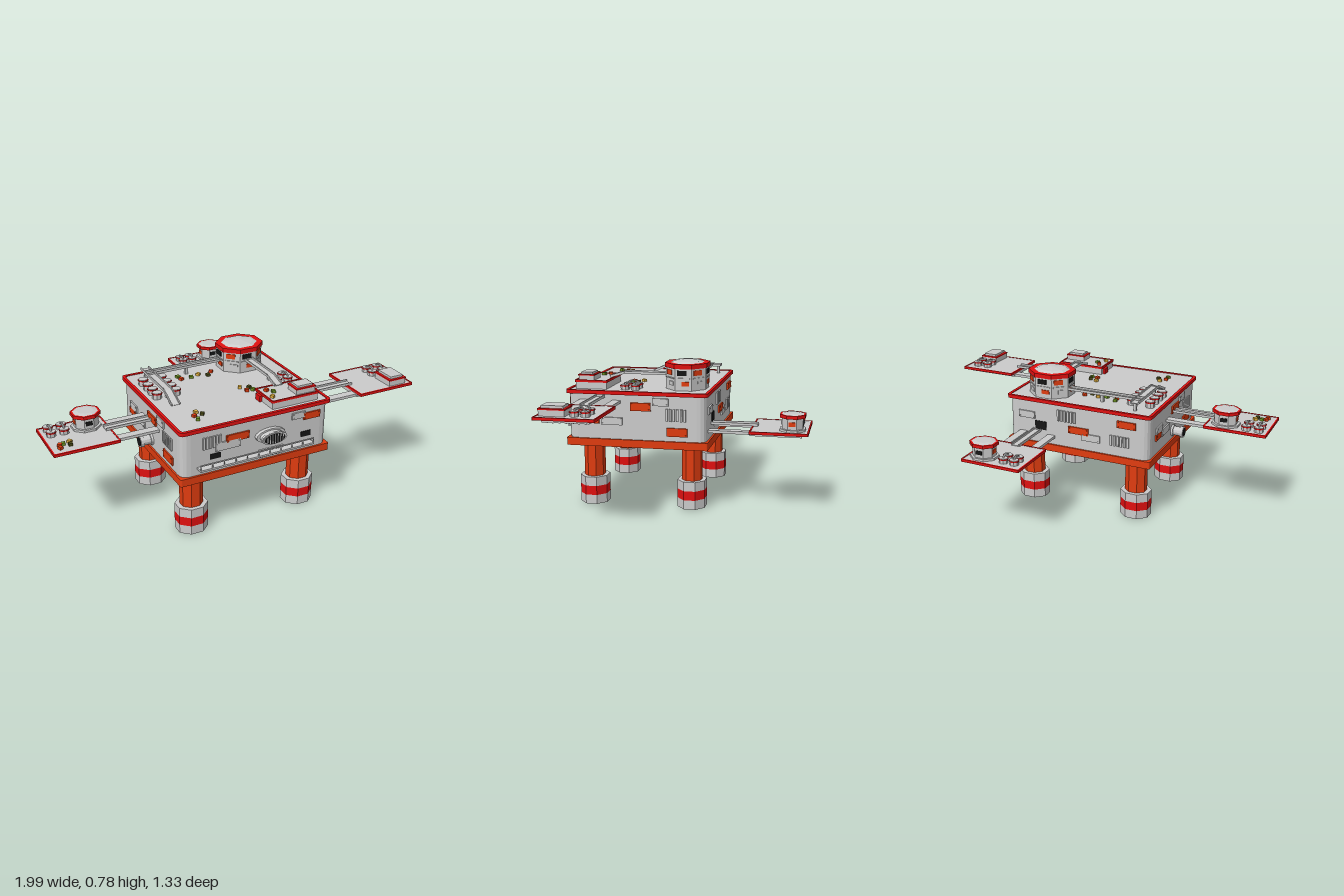
import * as THREE from 'three';

const mat = (color) => new THREE.MeshStandardMaterial({ color, flatShading: true });
const GREY = mat(0xcccccc), RED = mat(0xe01010), ORANGE = mat(0xe03c10), DARK = mat(0x151515);
const CRATES = [ORANGE, mat(0x6b8e23), mat(0xe0b040), mat(0x4a4a18)];
const SQUASH = 0.9; // round parts are a little shorter along z

function add(parent, name, geo, material, x = 0, y = 0, z = 0) {
  const m = new THREE.Mesh(geo, material);
  m.name = name;
  m.position.set(x, y, z);
  parent.add(m);
  return m;
}

// box from its limits
function block(parent, name, material, x0, x1, y0, y1, z0, z1) {
  return add(parent, name, new THREE.BoxGeometry(x1 - x0, y1 - y0, z1 - z0), material,
    (x0 + x1) / 2, (y0 + y1) / 2, (z0 + z1) / 2);
}

function group(parent, name, x = 0, y = 0, z = 0) {
  const g = new THREE.Group();
  g.name = name;
  g.position.set(x, y, z);
  parent.add(g);
  return g;
}

// upright octagonal prism with flat sides facing the axes; r is half the flat width
function octagon(parent, name, material, r, y0, y1, x = 0, z = 0, rTop = r) {
  const k = 1 / Math.cos(Math.PI / 8);
  const geo = new THREE.CylinderGeometry(rTop * k, r * k, y1 - y0, 8).rotateY(Math.PI / 8).scale(1, 1, SQUASH);
  return add(parent, name, geo, material, x, (y0 + y1) / 2, z);
}

function roundedRect(Type, w, d, r) {
  const s = new Type(), x = w / 2, y = d / 2;
  s.moveTo(-x + r, -y);
  s.lineTo(x - r, -y).quadraticCurveTo(x, -y, x, -y + r);
  s.lineTo(x, y - r).quadraticCurveTo(x, y, x - r, y);
  s.lineTo(-x + r, y).quadraticCurveTo(-x, y, -x, y - r);
  s.lineTo(-x, -y + r).quadraticCurveTo(-x, -y, -x + r, -y);
  return s;
}

// flat slab with rounded corners; border > 0 leaves only a frame
function slab(parent, name, material, w, d, y0, y1, x, z, r = 0.02, border = 0) {
  const s = roundedRect(THREE.Shape, w, d, r);
  if (border) s.holes.push(roundedRect(THREE.Path, w - 2 * border, d - 2 * border, r * 0.6));
  const geo = new THREE.ExtrudeGeometry(s, { depth: y1 - y0, bevelEnabled: false, curveSegments: 4 }).rotateX(-Math.PI / 2);
  return add(parent, name, geo, material, x, y0, z);
}

function smallTank(parent, x, y, z, r = 0.023, h = 0.028) {
  const g = group(parent, 'smallTank', x, y, z);
  octagon(g, 'tankBody', GREY, r, 0, h);
  octagon(g, 'tankRim', RED, r * 1.12, h - 0.009, h - 0.003);
  octagon(g, 'tankLid', GREY, r * 0.85, h - 0.003, h, 0, 0, r * 0.75);
}

// four tanks, each pair joined by an arched pipe along z
function tankCluster(parent, xs, y, zs) {
  for (const x of xs) {
    for (const z of zs) smallTank(parent, x, y, z);
    const arch = new THREE.TorusGeometry(Math.abs(zs[1] - zs[0]) / 2, 0.006, 6, 8, Math.PI).rotateY(Math.PI / 2).scale(1, 0.6, 1);
    add(parent, 'tankPipe', arch, GREY, x, y + 0.024, (zs[0] + zs[1]) / 2);
  }
}

function bigTank(parent, x, y, z) {
  const g = group(parent, 'largeTank', x, y, z);
  octagon(g, 'tankBase', GREY, 0.073, 0, 0.012);
  octagon(g, 'tankBody', GREY, 0.06, 0.012, 0.07);
  octagon(g, 'tankRim', RED, 0.073, 0.07, 0.088);
  octagon(g, 'tankLid', GREY, 0.062, 0.088, 0.092, 0, 0, 0.04);
  for (let i = 0; i < 4; i++) {
    const side = group(g, 'tankSide');
    side.rotation.y = i * Math.PI / 2;
    const d = i % 2 ? 0.06 : 0.06 * SQUASH;
    block(side, 'tankPanel', i % 2 ? ORANGE : DARK, -0.018, 0.018, 0.03, 0.052, d - 0.004, d + 0.003);
  }
}

function crates(parent, y, list) {
  list.forEach(([x, z], i) => {
    const c = add(parent, 'crate', new THREE.BoxGeometry(0.02, 0.014, 0.02), CRATES[i % 4], x, y + 0.007, z);
    c.rotation.y = 0.4 + i * 0.9;
  });
}

function cabin(parent, x0, x1, y, z0, z1, h) {
  const g = group(parent, 'cabin');
  block(g, 'cabinBody', GREY, x0, x1, y, y + h * 0.72, z0, z1);
  block(g, 'cabinStripe', RED, x0 - 0.003, x1 + 0.003, y + h * 0.6, y + h * 0.74, z0 - 0.003, z1 + 0.003);
  block(g, 'cabinRoof', GREY, x0 + 0.012, x1 - 0.012, y + h * 0.72, y + h, z0 + 0.01, z1 - 0.01);
}

// walkway between two points, with a curb on either side
function walkway(parent, a, b, w = 0.045) {
  const p = new THREE.Vector3(...a), q = new THREE.Vector3(...b);
  const g = group(parent, 'walkway', ...p.clone().add(q).multiplyScalar(0.5).toArray());
  g.lookAt(q);
  const l = p.distanceTo(q) / 2;
  block(g, 'walkwayFloor', GREY, -w / 2, w / 2, -0.004, 0, -l, l);
  for (const s of [-1, 1]) block(g, 'walkwayCurb', GREY, s * w / 2 - 0.003, s * w / 2 + 0.003, -0.004, 0.01, -l, l);
}

// outlying platform; local +z points away from the hull, y is its deck height
function platform(parent, name, w, d, gap, top) {
  const g = group(parent, name);
  slab(g, 'deckRim', RED, w, d, top - 0.015, top, 0, gap + d / 2, 0.005, 0.008);
  block(g, 'deck', GREY, -w / 2 + 0.006, w / 2 - 0.006, top - 0.013, top - 0.002, gap + 0.006, gap + d - 0.006);
  block(g, 'deckUnderside', GREY, -w / 2 + 0.035, w / 2 - 0.035, top - 0.03, top - 0.013, gap, gap + d - 0.035);
  for (let i = -3; i <= 3; i++) block(g, 'deckRib', GREY, i * 0.032 - 0.004, i * 0.032 + 0.004, top - 0.034, top - 0.029, gap + 0.01, gap + d - 0.04);
  for (const s of [-1, 1]) block(g, 'strut', GREY, s * 0.088 - 0.023, s * 0.088 + 0.023, top - 0.03, top - 0.015, -0.01, gap + 0.02);
  walkway(g, [0, top + 0.002, -0.005], [0, top + 0.002, gap + 0.03]);
  return g;
}

// wall details; local x runs along the wall, +z points outwards
function slats(parent, x0, x1, y0, y1, n) {
  const step = (x1 - x0) / n;
  for (let i = 0; i < n; i++) block(parent, 'ventSlat', GREY, x0 + i * step, x0 + (i + 0.6) * step, y0, y1, -0.005, 0.008);
}
function panels(parent, list) {
  for (const [m, x0, x1, y0, y1] of list) {
    block(parent, 'wallPanel', m, x0, x1, y0, y1, -0.005, m === DARK ? 0.003 : 0.008);
    if (m !== DARK) for (const x of [x0 + 0.008, x1 - 0.008]) for (const y of [y0 + 0.007, y1 - 0.007])
      block(parent, 'panelBolt', m, x - 0.003, x + 0.003, y - 0.003, y + 0.003, 0.007, 0.011);
  }
}
const sideDetails = (wall) => {
  panels(wall, [[ORANGE, -0.03, 0.08, 0.53, 0.573], [ORANGE, 0.165, 0.275, 0.4, 0.445], [ORANGE, -0.28, -0.2, 0.455, 0.49],
    [GREY, -0.27, -0.18, 0.49, 0.527], [GREY, -0.19, -0.075, 0.45, 0.49], [GREY, 0.09, 0.175, 0.56, 0.6]]);
  slats(wall, 0.16, 0.275, 0.48, 0.545, 6);
};

export function createModel() {
  const model = new THREE.Group();
  model.name = 'seaPlatform';
  const cz = 0.23, roof = 0.628;

  // legs with banded feet
  for (const x of [-0.322, 0.322]) for (const z of [-0.05, 0.493]) {
    const leg = group(model, 'leg', x, 0, z);
    octagon(leg, 'footBase', GREY, 0.082, 0, 0.05);
    octagon(leg, 'footBand', RED, 0.082, 0.05, 0.1);
    octagon(leg, 'footTop', GREY, 0.082, 0.1, 0.15);
    octagon(leg, 'legColumn', ORANGE, 0.058, 0.15, 0.34);
  }

  // hull
  slab(model, 'baseSlab', ORANGE, 0.87, 0.765, 0.332, 0.373, 0, cz, 0.01);
  slab(model, 'hull', GREY, 0.85, 0.745, 0.37, roof, 0, cz, 0.05);
  slab(model, 'roofRim', RED, 0.87, 0.765, 0.612, 0.632, 0, cz, 0.025, 0.016);

  // wall fittings
  const walls = [0, 1, 2, 3].map((i) => {
    const a = i * Math.PI / 2, d = i % 2 ? 0.425 : 0.3725;
    const w = group(model, ['frontWall', 'leftWall', 'backWall', 'rightWall'][i], Math.sin(a) * d, 0, cz + Math.cos(a) * d);
    w.rotation.y = a;
    return w;
  });
  const [front, left, back, right] = walls;
  panels(front, [[ORANGE, -0.18, -0.05, 0.52, 0.56], [ORANGE, 0.27, 0.37, 0.545, 0.583], [DARK, 0.26, 0.32, 0.445, 0.475],
    [DARK, -0.27, -0.21, 0.445, 0.475], [GREY, -0.24, -0.1, 0.485, 0.53], [GREY, 0.2, 0.28, 0.56, 0.595]]);
  slats(front, -0.31, -0.2, 0.51, 0.575, 6);
  slats(front, 0.01, 0.16, 0.385, 0.43, 8);
  sideDetails(left);
  sideDetails(right);
  panels(back, [[ORANGE, -0.05, 0.07, 0.46, 0.5], [ORANGE, 0.24, 0.35, 0.54, 0.58], [GREY, 0.03, 0.14, 0.43, 0.47],
    [GREY, -0.36, -0.26, 0.51, 0.55], [DARK, -0.26, -0.19, 0.45, 0.5]]);
  slats(back, -0.12, 0, 0.52, 0.585, 6);
  slats(back, 0.2, 0.32, 0.43, 0.49, 6);

  // front ledge with rail
  block(front, 'ledgeFloor', GREY, -0.34, 0.32, 0.408, 0.418, -0.005, 0.04);
  block(front, 'ledgeRail', GREY, -0.34, 0.32, 0.44, 0.446, 0.034, 0.04);
  for (let i = 0; i <= 10; i++) block(front, 'railPost', GREY, -0.34 + i * 0.0655, -0.335 + i * 0.0655, 0.415, 0.443, 0.035, 0.039);

  // oval intake on the front
  const intake = group(front, 'frontIntake', 0.07, 0.51, 0);
  const oval = (name, m, r, z0, z1) => add(intake, name,
    new THREE.CylinderGeometry(r, r, z1 - z0, 16).rotateX(Math.PI / 2).scale(1, 0.45, 1), m, 0, 0, (z0 + z1) / 2);
  oval('intakeFlange', GREY, 0.085, -0.005, 0.02);
  oval('intakeBody', GREY, 0.067, 0.02, 0.058);
  oval('intakeLip', GREY, 0.074, 0.042, 0.054);
  oval('intakeOpening', DARK, 0.06, 0.05, 0.06);
  for (let i = -3; i <= 3; i++) {
    const h = 0.026 * Math.sqrt(1 - (i / 4) ** 2);
    block(intake, 'intakeBar', GREY, i * 0.015 - 0.002, i * 0.015 + 0.002, -h, h, 0.055, 0.063);
  }

  // round nozzle on the side
  const nozzle = group(right, 'sideNozzle', 0, 0.42, 0);
  for (const [r, z0, z1, m] of [[0.026, -0.01, 0.06, GREY], [0.033, 0, 0.012, GREY], [0.032, 0.05, 0.07, GREY], [0.024, 0.06, 0.072, DARK]])
    add(nozzle, 'nozzleRing', new THREE.CylinderGeometry(r, r, z1 - z0, 12).rotateX(Math.PI / 2), m, 0, 0, (z0 + z1) / 2);

  // control tower
  const tower = group(model, 'controlTower', 0.22, 0, -0.005);
  octagon(tower, 'towerBody', GREY, 0.12, 0.62, 0.745);
  octagon(tower, 'towerRim', RED, 0.126, 0.744, 0.768);
  octagon(tower, 'towerDome', GREY, 0.1, 0.766, 0.776, 0, 0, 0.075);
  octagon(tower, 'towerDomeTop', GREY, 0.075, 0.776, 0.783, 0, 0, 0.012);
  for (let i = 0; i < 8; i++) {
    const frame = group(tower, 'towerFace');
    frame.scale.z = SQUASH;
    const face = group(frame, 'towerFacePanels');
    face.rotation.y = i * Math.PI / 4;
    block(face, 'towerWindow', i % 2 ? ORANGE : DARK, -0.035, 0.02, 0.708, 0.735, 0.115, 0.124);
    block(face, 'towerPanel', i % 2 ? GREY : ORANGE, -0.01, 0.036, 0.654, 0.676, 0.115, 0.125);
    block(face, 'towerLedge', GREY, -0.04, 0.04, 0.69, 0.696, 0.115, 0.125);
  }

  // raised deck with cabin
  block(model, 'raisedDeck', GREY, 0.1, 0.37, 0.62, 0.672, 0.405, 0.575);
  slab(model, 'raisedDeckRim', RED, 0.28, 0.18, 0.664, 0.676, 0.235, 0.49, 0.006, 0.008);
  block(model, 'raisedDeckDoor', RED, 0.085, 0.102, 0.628, 0.66, 0.425, 0.47);
  cabin(model, 0.25, 0.363, 0.672, 0.476, 0.56, 0.043);

  // roof walkways
  walkway(model, [0.225, 0.7, 0.09], [0.225, 0.7, 0.34]);
  walkway(model, [0.225, 0.7, 0.34], [0.225, 0.676, 0.42]);
  walkway(model, [0.12, 0.675, -0.025], [-0.34, 0.675, -0.025], 0.04);
  walkway(model, [-0.318, 0.675, -0.095], [-0.318, 0.675, 0.21]);
  walkway(model, [-0.318, 0.675, 0.21], [-0.318, 0.63, 0.31]);
  for (const [x, z] of [[-0.318, -0.08], [-0.318, 0.2], [-0.1, -0.025]]) block(model, 'walkwayPost', GREY, x - 0.008, x + 0.008, 0.625, 0.673, z - 0.008, z + 0.008);

  // roof tanks and crates
  for (const x of [-0.37, -0.262]) for (const z of [0.005, 0.072, 0.132, 0.19]) smallTank(model, x, roof, z, 0.024, 0.035);
  tankCluster(model, [0.285, 0.353], roof, [0.25, 0.308]);
  crates(model, roof, [[-0.16, 0.04], [-0.1, 0.04], [-0.05, 0.025], [-0.005, 0.055], [0.03, 0.022], [-0.165, 0.005], [0.075, 0.275],
    [0.12, 0.295], [0.09, 0.325], [0.125, 0.33], [-0.265, 0.435], [-0.245, 0.467], [-0.29, 0.47], [-0.29, 0.51]]);
  crates(model, 0.672, [[0.135, 0.45], [0.16, 0.48], [0.125, 0.53]]);

  // outlying platforms
  const east = platform(model, 'leftPlatform', 0.307, 0.345, 0.225, 0.597);
  east.position.set(0.425, 0, 0.424);
  east.rotation.y = Math.PI / 2;
  tankCluster(model, [0.86, 0.928], 0.595, [0.335, 0.39]);
  cabin(model, 0.85, 0.955, 0.595, 0.43, 0.56, 0.05);

  const west = platform(model, 'rightPlatform', 0.303, 0.345, 0.225, 0.54);
  west.position.set(-0.425, 0, 0.228);
  west.rotation.y = -Math.PI / 2;
  bigTank(model, -0.755, 0.538, 0.16);
  tankCluster(model, [-0.945, -0.877], 0.538, [0.122, 0.18]);
  crates(model, 0.538, [[-0.945, 0.33], [-0.92, 0.295], [-0.885, 0.285], [-0.89, 0.315], [-0.94, 0.3]]);

  const north = platform(model, 'backPlatform', 0.345, 0.305, 0.222, 0.442);
  north.position.set(0.247, 0, -0.142);
  north.rotation.y = Math.PI;
  bigTank(model, 0.325, 0.44, -0.583);
  tankCluster(model, [0.132, 0.195], 0.44, [-0.61, -0.56]);

  return model;
}
